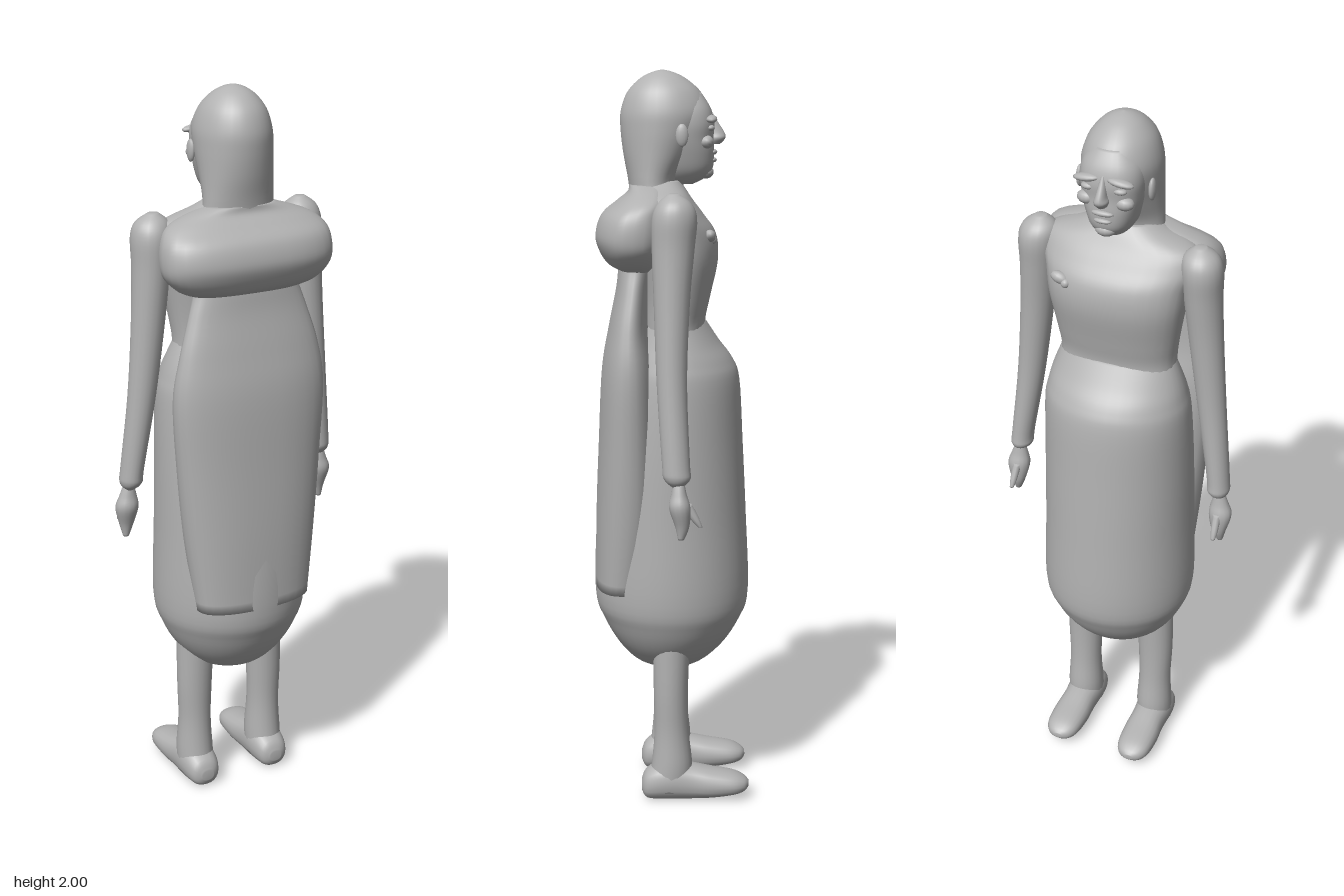
import * as THREE from 'three';

const stone = new THREE.MeshStandardMaterial({ color: 0xb2b2b2 });
stone.name = 'plain grey';

// Smooth loft through cross-sections [y, halfWidth, zFront, zBack, centreX], listed bottom to top.
function loft(sections, { sides = 32, steps = 5, power = 2 } = {}) {
  const rings = [];
  const at = (i, k) => sections[Math.min(Math.max(i, 0), sections.length - 1)][k] ?? 0;
  const last = (sections.length - 1) * steps;
  for (let s = 0; s <= last; s++) {
    const i = Math.min(Math.floor(s / steps), sections.length - 2);
    const t = s / steps - i;
    rings.push([0, 1, 2, 3, 4].map((k) => {
      const p1 = at(i, k), p2 = at(i + 1, k);
      const m1 = (p2 - at(i - 1, k)) / 2, m2 = (at(i + 2, k) - p1) / 2;
      const t2 = t * t, t3 = t2 * t;
      return (2 * t3 - 3 * t2 + 1) * p1 + (t3 - 2 * t2 + t) * m1
        + (3 * t2 - 2 * t3) * p2 + (t3 - t2) * m2;
    }));
  }
  const pos = [], index = [];
  const bend = (v) => Math.sign(v) * Math.abs(v) ** (2 / power);
  for (const [y, w, f, b, cx] of rings) {
    for (let j = 0; j < sides; j++) {
      const a = (j / sides) * Math.PI * 2;
      pos.push(cx + w * bend(Math.cos(a)), y, (f + b) / 2 + ((b - f) / 2) * bend(Math.sin(a)));
    }
  }
  for (let i = 0; i < last; i++) {
    for (let j = 0; j < sides; j++) {
      const n = (j + 1) % sides, a = i * sides, b = a + sides;
      index.push(a + j, b + j, a + n, b + j, b + n, a + n);
    }
  }
  // End caps
  for (const r of [0, last]) {
    const [y, , f, b, cx] = rings[r];
    const c = pos.length / 3;
    pos.push(cx, y, (f + b) / 2);
    for (let j = 0; j < sides; j++) {
      const p = r * sides + j, q = r * sides + ((j + 1) % sides);
      if (r === 0) index.push(c, p, q);
      else index.push(c, q, p);
    }
  }
  const g = new THREE.BufferGeometry();
  g.setAttribute('position', new THREE.Float32BufferAttribute(pos, 3));
  g.setIndex(index);
  g.computeVertexNormals();
  return g;
}

function part(parent, name, geometry) {
  const mesh = new THREE.Mesh(geometry, stone);
  mesh.name = name;
  parent.add(mesh);
  return mesh;
}

function blob(parent, name, [x, y, z], [sx, sy, sz], tilt = 0) {
  const mesh = part(parent, name, new THREE.SphereGeometry(1, 14, 10));
  mesh.position.set(x, y, z);
  mesh.scale.set(sx, sy, sz);
  mesh.rotation.z = tilt;
  return mesh;
}

export function createModel() {
  const model = new THREE.Group();
  model.name = 'robedFigure';

  // Long rounded skirt, pinched at the waist
  part(model, 'skirt', loft([
    [0.36, 0.04, -0.04, 0.04], [0.38, 0.1, -0.09, 0.1], [0.43, 0.155, -0.145, 0.15],
    [0.5, 0.195, -0.19, 0.19], [0.58, 0.214, -0.213, 0.214], [0.8, 0.21, -0.205, 0.208],
    [1.0, 0.207, -0.195, 0.19], [1.17, 0.202, -0.185, 0.16], [1.23, 0.192, -0.165, 0.14],
    [1.28, 0.178, -0.128, 0.11], [1.34, 0.155, -0.088, 0.08],
  ], { sides: 40 }));

  // Chest and shoulders
  part(model, 'torso', loft([
    [1.26, 0.165, -0.1, 0.08], [1.33, 0.16, -0.09, 0.08], [1.4, 0.168, -0.103, 0.08],
    [1.5, 0.185, -0.124, 0.09], [1.57, 0.195, -0.118, 0.1], [1.62, 0.21, -0.085, 0.1],
    [1.66, 0.2, -0.055, 0.09], [1.69, 0.12, -0.035, 0.09], [1.71, 0.08, -0.02, 0.09],
  ], { power: 2.3 }));

  // Cape hanging down the back and its thick folded hood
  part(model, 'cape', loft([
    [0.6, 0.17, 0.06, 0.212], [0.8, 0.195, 0.03, 0.21], [1.0, 0.213, 0.03, 0.202],
    [1.2, 0.224, 0.04, 0.192], [1.32, 0.205, 0.06, 0.172], [1.42, 0.175, 0.06, 0.152],
    [1.48, 0.155, 0.05, 0.145], [1.52, 0.15, 0.04, 0.14],
  ], { power: 2.3 }));
  part(model, 'foldedHood', loft([
    [1.475, 0.15, 0.05, 0.14], [1.495, 0.2, 0.03, 0.175], [1.53, 0.236, 0.01, 0.197],
    [1.57, 0.246, 0, 0.206], [1.62, 0.24, 0, 0.19], [1.655, 0.215, 0, 0.15],
    [1.68, 0.16, 0.01, 0.12], [1.7, 0.09, 0.02, 0.115],
  ], { power: 2.5 }));

  // Head: smooth covering at the back with the face set into it
  const head = new THREE.Group();
  head.name = 'head';
  model.add(head);
  part(head, 'headCovering', loft([
    [1.64, 0.125, -0.03, 0.12], [1.68, 0.103, -0.012, 0.115], [1.72, 0.099, -0.015, 0.119],
    [1.78, 0.1, -0.05, 0.13], [1.84, 0.102, -0.085, 0.137], [1.89, 0.1, -0.1, 0.137],
    [1.94, 0.084, -0.078, 0.12], [1.975, 0.056, -0.04, 0.088], [1.993, 0.028, -0.005, 0.055],
    [2.0, 0.002, 0.024, 0.028],
  ]));
  part(head, 'face', loft([
    [1.7, 0.025, -0.055, 0.03], [1.715, 0.042, -0.086, 0.04], [1.74, 0.058, -0.108, 0.05],
    [1.78, 0.071, -0.113, 0.05], [1.82, 0.08, -0.111, 0.05], [1.86, 0.084, -0.113, 0.05],
    [1.9, 0.078, -0.103, 0.05], [1.94, 0.055, -0.078, 0.05],
  ], { power: 2.4 }));
  part(head, 'nose', loft([
    [1.805, 0.012, -0.128, -0.09], [1.82, 0.019, -0.142, -0.09], [1.835, 0.014, -0.141, -0.09],
    [1.865, 0.009, -0.122, -0.09], [1.885, 0.005, -0.11, -0.09],
  ], { sides: 14 }));
  blob(head, 'upperLip', [0, 1.785, -0.11], [0.03, 0.008, 0.011]);
  blob(head, 'lowerLip', [0, 1.764, -0.109], [0.024, 0.007, 0.011]);
  blob(head, 'chin', [0, 1.732, -0.09], [0.028, 0.018, 0.022]);

  for (const side of [-1, 1]) {
    const label = side > 0 ? 'left' : 'right';
    blob(head, `${label}Brow`, [side * 0.045, 1.872, -0.103], [0.036, 0.01, 0.016], side * -0.12);
    blob(head, `${label}Eye`, [side * 0.042, 1.848, -0.1], [0.019, 0.009, 0.013]);
    blob(head, `${label}Cheek`, [side * 0.05, 1.812, -0.09], [0.026, 0.018, 0.02]);
    blob(head, `${label}Ear`, [side * 0.097, 1.83, -0.025], [0.009, 0.03, 0.017]);

    // Sleeve with a rounded shoulder and a cuff at the wrist
    part(model, `${label}Arm`, loft([
      [0.935, 0.012, -0.025, 0.005, side * 0.3], [0.955, 0.03, -0.045, 0.025, side * 0.295],
      [1.0, 0.031, -0.043, 0.03, side * 0.291], [1.2, 0.038, -0.036, 0.043, side * 0.264],
      [1.4, 0.045, -0.043, 0.05, side * 0.242], [1.54, 0.05, -0.055, 0.055, side * 0.23],
      [1.62, 0.054, -0.062, 0.055, side * 0.226], [1.66, 0.045, -0.048, 0.04, side * 0.222],
      [1.685, 0.014, -0.015, 0.012, side * 0.22],
    ], { sides: 20 }));

    // Hand narrowing to the fingertips, with a thumb
    part(model, `${label}Hand`, loft([
      [0.795, 0.008, -0.028, -0.012, side * 0.308], [0.83, 0.02, -0.042, -0.004, side * 0.305],
      [0.88, 0.032, -0.045, 0.012, side * 0.305], [0.915, 0.024, -0.035, 0.006, side * 0.302],
      [0.95, 0.012, -0.028, 0, side * 0.3],
    ], { sides: 14 }));
    part(model, `${label}Thumb`, loft([
      [0.828, 0.006, -0.076, -0.064, side * 0.305], [0.85, 0.01, -0.068, -0.044, side * 0.304],
      [0.89, 0.012, -0.048, -0.015, side * 0.302],
    ], { sides: 10 }));

    // Leg and foot
    part(model, `${label}Leg`, loft([
      [0.03, 0.05, -0.05, 0.07, side * 0.113], [0.1, 0.052, -0.055, 0.058, side * 0.113],
      [0.2, 0.047, -0.045, 0.05, side * 0.113], [0.32, 0.051, -0.043, 0.052, side * 0.113],
      [0.5, 0.056, -0.05, 0.055, side * 0.108],
    ], { sides: 20 }));
    // The foot is lofted heel to toe, then laid forward
    part(model, `${label}Foot`, loft([
      [-0.086, 0.018, 0.025, 0.055, side * 0.113], [-0.07, 0.042, 0.003, 0.085, side * 0.113],
      [-0.02, 0.053, 0, 0.11, side * 0.113], [0.05, 0.05, 0, 0.1, side * 0.113],
      [0.11, 0.053, 0.004, 0.087, side * 0.114], [0.17, 0.049, 0.013, 0.075, side * 0.115],
      [0.2, 0.034, 0.022, 0.062, side * 0.115], [0.213, 0.012, 0.034, 0.05, side * 0.115],
    ], { sides: 20, power: 2.3 }).rotateX(-Math.PI / 2));
  }

  // Small clasp on one side of the chest
  blob(model, 'clasp', [0.125, 1.57, -0.098], [0.026, 0.016, 0.016], 0.3);
  blob(model, 'claspEnd', [0.107, 1.56, -0.104], [0.013, 0.013, 0.013]);
  return model;
}
